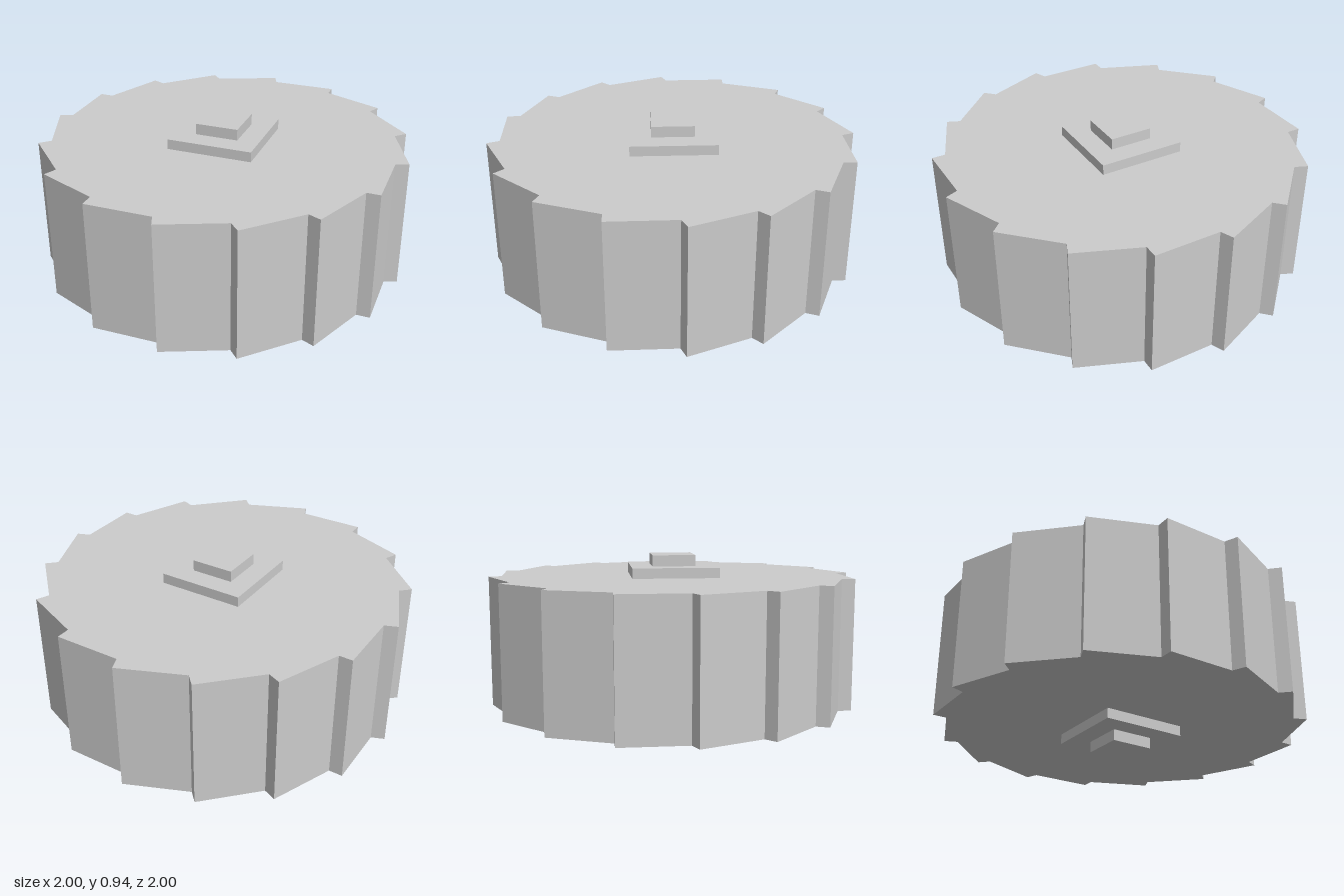
import * as THREE from 'three';

const TEETH = 16;
const ROOT_RADIUS = 0.931;
const TIP_RADIUS = 0.999;
const TIP_LEAD = THREE.MathUtils.degToRad(1.55); // each tip overhangs the next root

// Saw-toothed outline: a tip, a short step in to the root, then a long flat out to the next tip
function ratchetShape() {
  const points = [];
  const at = (r, a) => points.push(new THREE.Vector2(r * Math.cos(a), r * Math.sin(a)));
  for (let i = 0; i < TEETH; i++) {
    const a = (i / TEETH) * Math.PI * 2;
    at(TIP_RADIUS, a - TIP_LEAD);
    at(ROOT_RADIUS, a);
  }
  return new THREE.Shape(points);
}

export function createModel() {
  const group = new THREE.Group();
  const material = new THREE.MeshStandardMaterial({ color: 0xcccccc, flatShading: true });
  const add = (name, geometry) => {
    const mesh = new THREE.Mesh(geometry, material);
    mesh.name = name;
    group.add(mesh);
  };

  // Toothed wheel lying flat
  const wheel = new THREE.ExtrudeGeometry(ratchetShape(), { depth: 0.71, bevelEnabled: false });
  wheel.rotateX(Math.PI / 2).translate(0, 0.825, 0);
  add('toothedWheel', wheel);

  // Square hub plates and axle ends, above and below the wheel
  const block = (name, width, bottom, top) =>
    add(name, new THREE.BoxGeometry(width, top - bottom, width).translate(0, (bottom + top) / 2, 0));
  block('upperHubPlate', 0.465, 0.825, 0.88);
  block('upperAxleEnd', 0.232, 0.88, 0.94);
  block('lowerHubPlate', 0.465, 0.06, 0.115);
  block('lowerAxleEnd', 0.232, 0, 0.06);

  return group;
}
